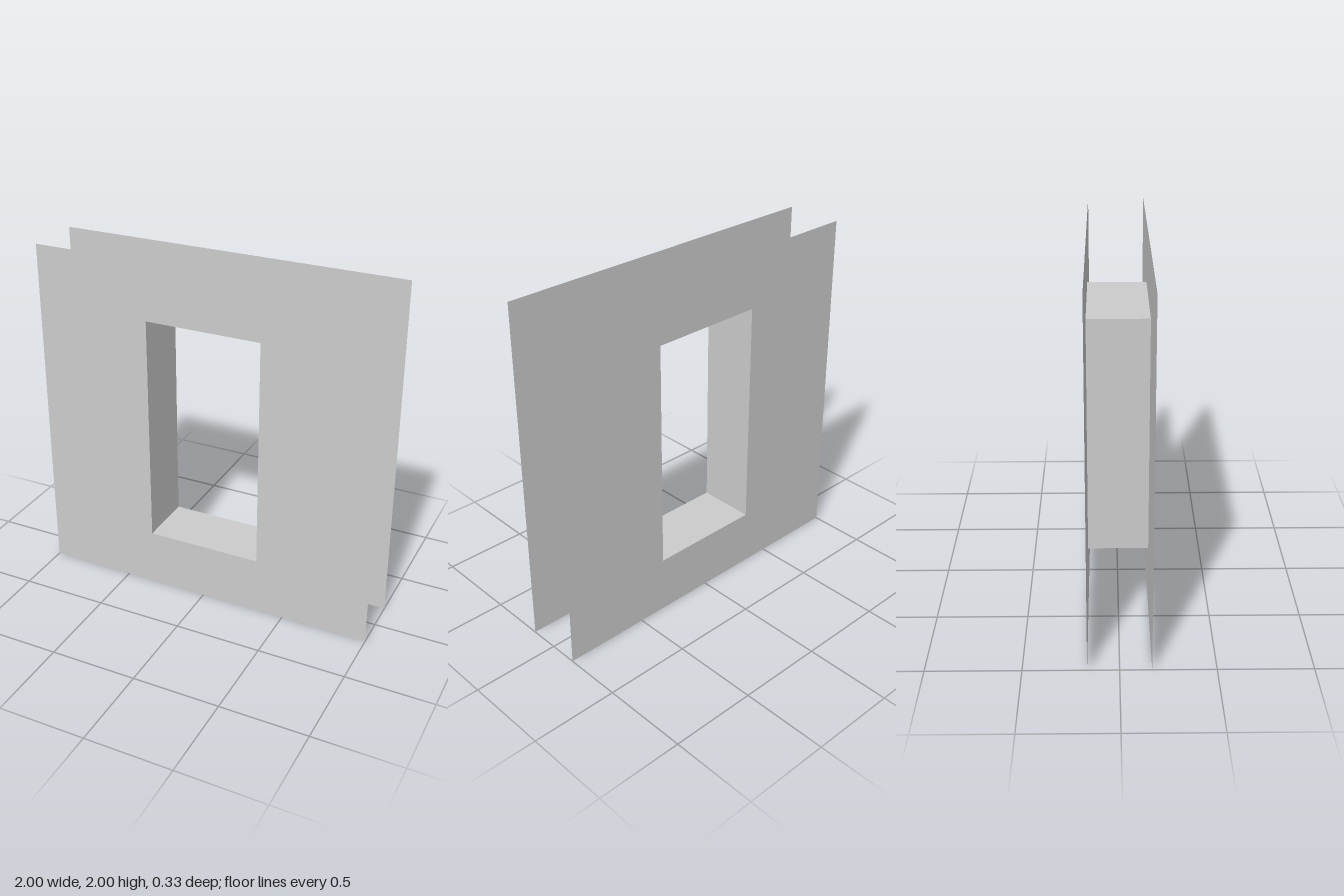
import * as THREE from 'three';

const WALL = 2;              // wall panel width and height
const OPEN_W = 2 / 3;        // opening width
const OPEN_H = 4 / 3;        // opening height
const DEPTH = 1 / 3;         // distance between the two wall faces

function rectangle(PathType, w, h) {
  return new PathType([
    new THREE.Vector2(-w / 2, -h / 2),
    new THREE.Vector2(w / 2, -h / 2),
    new THREE.Vector2(w / 2, h / 2),
    new THREE.Vector2(-w / 2, h / 2),
  ]);
}

export function createModel() {
  const model = new THREE.Group();
  model.name = 'wallWithOpening';
  const material = new THREE.MeshStandardMaterial({ color: 0xcccccc, side: THREE.DoubleSide });

  const add = (name, geometry, x, y, z) => {
    const mesh = new THREE.Mesh(geometry, material);
    mesh.name = name;
    mesh.position.set(x, y + WALL / 2, z);
    model.add(mesh);
    return mesh;
  };

  // Front and back wall faces, each a thin sheet with the opening cut out
  const shape = rectangle(THREE.Shape, WALL, WALL);
  shape.holes.push(rectangle(THREE.Path, OPEN_W, OPEN_H));
  const face = new THREE.ShapeGeometry(shape);
  add('frontWallFace', face, 0, 0, DEPTH / 2);
  add('backWallFace', face, 0, 0, -DEPTH / 2).rotation.y = Math.PI;

  // Side linings of the opening, facing inwards
  const jamb = new THREE.PlaneGeometry(DEPTH, OPEN_H);
  add('leftJamb', jamb, OPEN_W / 2, 0, 0).rotation.y = -Math.PI / 2;
  add('rightJamb', jamb, -OPEN_W / 2, 0, 0).rotation.y = Math.PI / 2;

  // Top and bottom linings of the opening, facing inwards
  const sill = new THREE.PlaneGeometry(OPEN_W, DEPTH);
  add('lintel', sill, 0, OPEN_H / 2, 0).rotation.x = Math.PI / 2;
  add('sill', sill, 0, -OPEN_H / 2, 0).rotation.x = -Math.PI / 2;

  return model;
}
